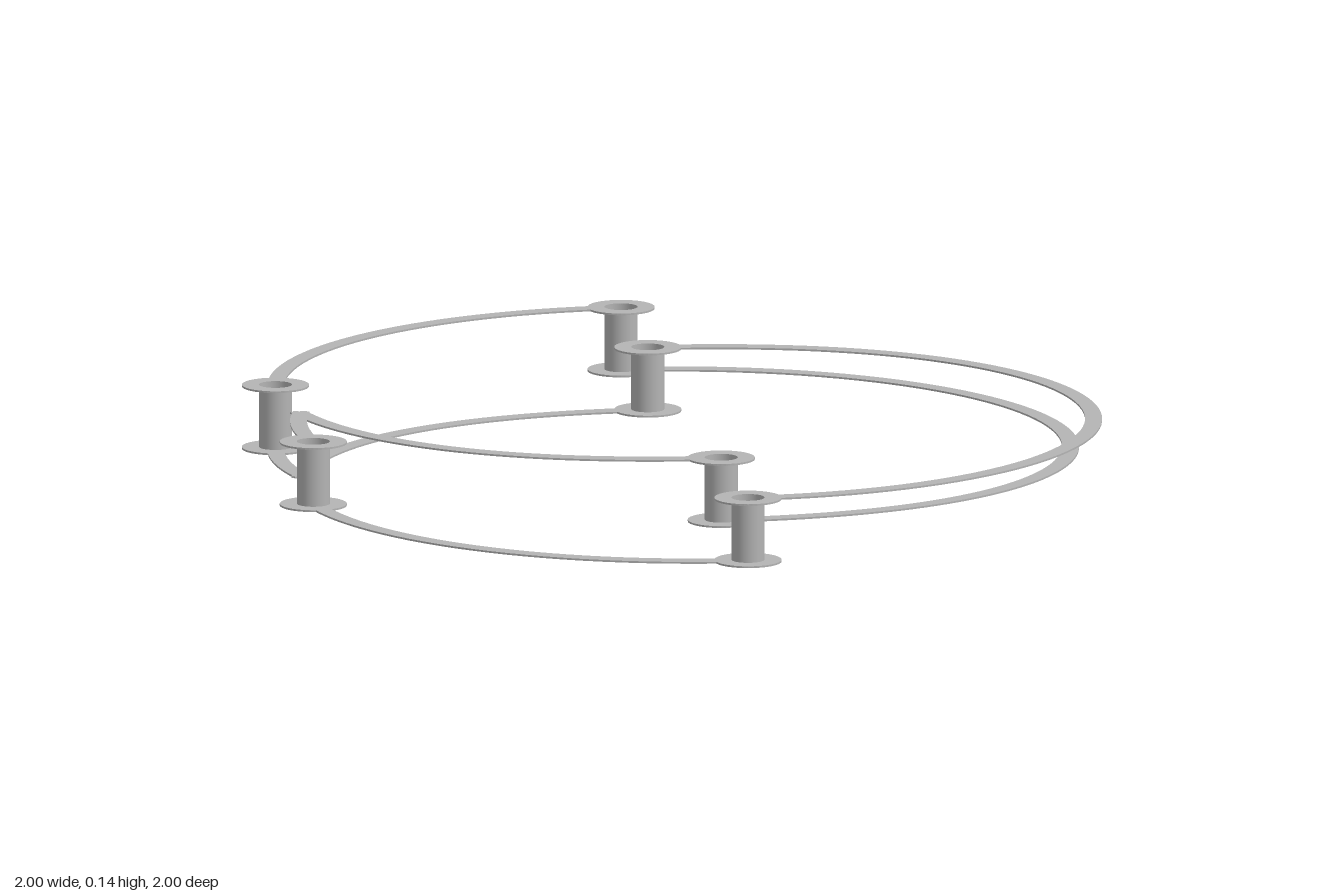
import * as THREE from 'three';

const HEIGHT = 0.142, THICK = 0.004, HALF_WIDTH = 0.0185;
const PAD_R = 0.073, HOLE_R = 0.036;
const RAD = Math.PI / 180;

// Centre line of one loop: an off-centre rounded curve, angle measured from the (-x, +z) diagonal
const radius = (a) =>
  0.8255 + 0.2135 * Math.cos(a) - 0.0175 * Math.cos(2 * a) + 0.002 * Math.cos(3 * a);

function loopPoint(deg) {
  const a = deg * RAD, r = radius(a) * Math.SQRT1_2;
  return new THREE.Vector2(-r * (Math.cos(a) + Math.sin(a)), r * (Math.cos(a) - Math.sin(a)));
}

// Extrude a plan (x, z) shape into a thin sheet whose upper face is at y = top
function sheet(shape, top) {
  const geo = new THREE.ExtrudeGeometry(shape, { depth: THICK, bevelEnabled: false, curveSegments: 24 });
  return geo.rotateX(Math.PI / 2).translate(0, top, 0);
}

export function createModel() {
  const metal = new THREE.MeshStandardMaterial({ color: 0xb4b4b4, side: THREE.DoubleSide });
  const model = new THREE.Group();
  model.name = 'twoLayerCoil';

  function add(parent, name, geo) {
    const mesh = new THREE.Mesh(geo, metal);
    mesh.name = name;
    parent.add(mesh);
    return mesh;
  }

  // Flat curved strip following the loop between two angles
  function trace(parent, name, from, to, top) {
    const steps = Math.ceil((to - from) / 2.5);
    const outer = [], inner = [];
    for (let i = 0; i <= steps; i++) {
      const deg = from + ((to - from) * i) / steps;
      const p = loopPoint(deg);
      const t = loopPoint(deg + 0.1).sub(loopPoint(deg - 0.1)).normalize();
      const n = new THREE.Vector2(-t.y, t.x).multiplyScalar(HALF_WIDTH);
      outer.push(p.clone().add(n));
      inner.unshift(p.clone().sub(n));
    }
    add(parent, name, sheet(new THREE.Shape([...outer, ...inner]), top));
  }

  // Hollow post with a ring pad at each end
  function post(parent, name, deg) {
    const group = new THREE.Group();
    group.name = name;
    const p = loopPoint(deg);
    group.position.set(p.x, 0, p.y);
    const ring = new THREE.Shape().absarc(0, 0, PAD_R, 0, Math.PI * 2);
    ring.holes.push(new THREE.Path().absarc(0, 0, HOLE_R, 0, Math.PI * 2, true));
    add(group, 'lowerPad', sheet(ring, THICK));
    add(group, 'upperPad', sheet(ring, HEIGHT));
    add(group, 'barrel', new THREE.CylinderGeometry(HOLE_R, HOLE_R, HEIGHT, 48, 1, true)
      .translate(0, HEIGHT / 2, 0));
    parent.add(group);
  }

  // One loop; traces stop at the post pads and meet in a sharp tip at 90 degrees
  function buildLoop(name) {
    const loop = new THREE.Group();
    loop.name = name;
    const side = 70.4;
    const trim = (deg) => 0.05 / radius(deg * RAD) / RAD;
    trace(loop, 'lowerSideTrace', trim(0), side - trim(side), THICK);
    trace(loop, 'lowerInnerTrace', 89, 180 - trim(180), THICK);
    trace(loop, 'upperTipTrace', side + trim(side), 91, HEIGHT);
    trace(loop, 'upperLongTrace', 180 + trim(180), 360 - trim(0), HEIGHT);
    post(loop, 'outerPost', 0);
    post(loop, 'sidePost', side);
    post(loop, 'innerPost', 180);
    return loop;
  }

  // The second loop is the first turned over about the horizontal diagonal
  model.add(buildLoop('firstLoop'));
  const second = buildLoop('secondLoop');
  second.quaternion.setFromAxisAngle(new THREE.Vector3(1, 0, 1).normalize(), Math.PI);
  second.position.y = HEIGHT;
  model.add(second);
  return model;
}
